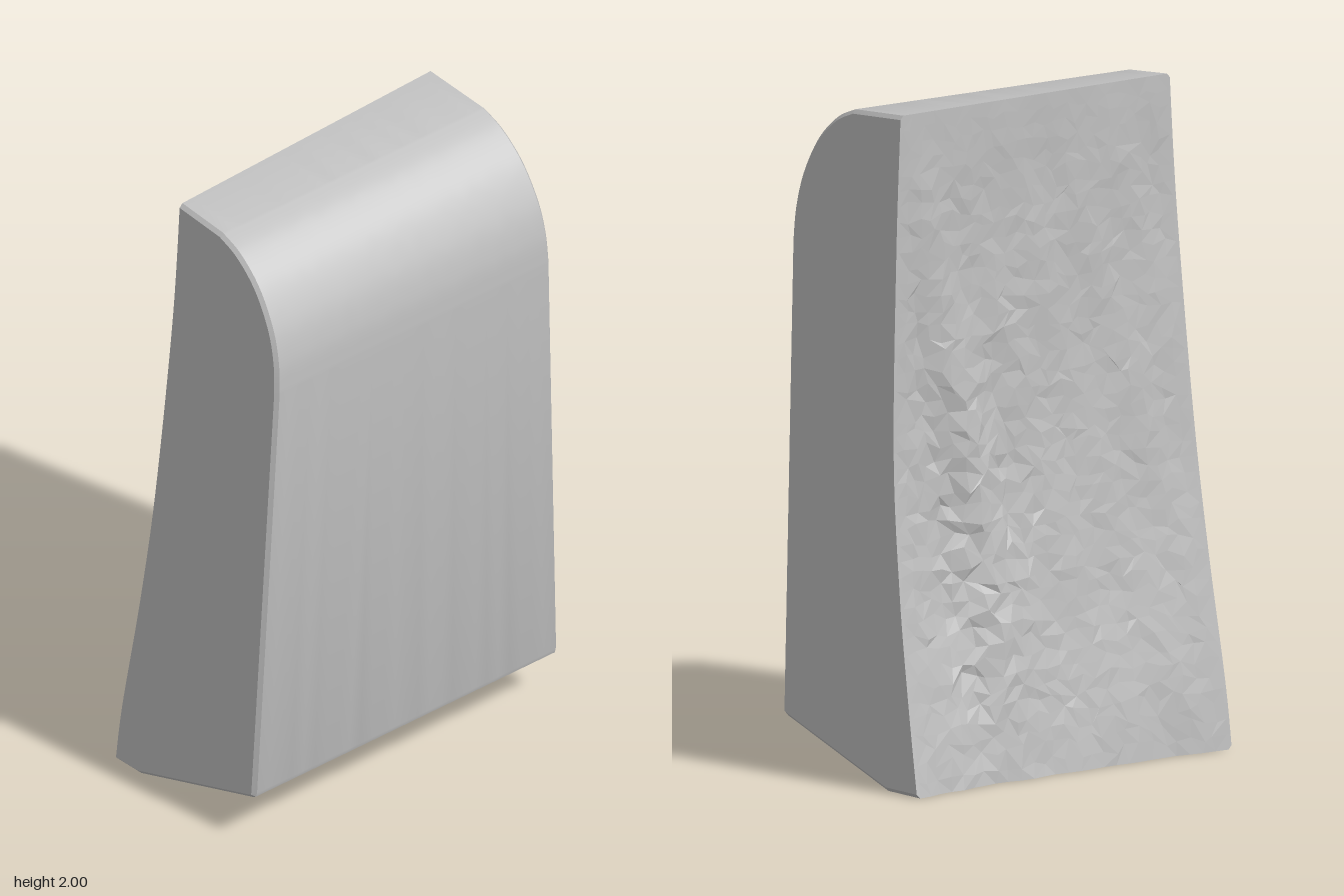
import * as THREE from 'three';
import { toCreasedNormals } from 'three/addons/utils/BufferGeometryUtils.js';

const CHAMFER = 0.012, ROWS = 44, COLS = 26;
const gauss = (x, w) => Math.exp(-(x * x) / (w * w));
const hash = (a, b) => { const n = Math.sin(a * 127.1 + b * 311.7) * 43758.5453; return n - Math.floor(n) - 0.5; };

// piecewise-linear lookup smoothed through a spline: points are (y, depth)
function edgeCurve(points) {
  const samples = new THREE.SplineCurve(points.map(p => new THREE.Vector2(...p))).getPoints(80);
  return y => {
    let i = 1;
    while (i < samples.length - 1 && samples[i].x < y) i++;
    const a = samples[i - 1], b = samples[i];
    return a.y + (b.y - a.y) * THREE.MathUtils.clamp((y - a.x) / (b.x - a.x), 0, 1);
  };
}
const rightEdge = edgeCurve([[0, -0.363], [0.3, -0.3], [0.6, -0.245], [1, -0.195], [1.6, -0.175], [2, -0.173]]);
const leftEdge = edgeCurve([[0, -0.31], [0.2, -0.29], [0.6, -0.228], [1, -0.18], [1.6, -0.135], [2, -0.123]]);

// depth of the rough back at side position s (-1..1) and height y
function backDepth(s, y) {
  const base = THREE.MathUtils.lerp(leftEdge(y), rightEdge(y), (s + 1) / 2);
  const low = 1 - y / 2, window = Math.min(1, (1 - s * s) * 4) * Math.min(1, (2 - y) * 4);
  const line = 0.32 + 0.28 * (y - 0.4);
  const mid = gauss(y - 0.75, 0.65);
  const hollow = 0.03 * low * (1 - s * s) + 0.03 * gauss(s - line - 0.28, 0.14) * mid;
  const ridge = 0.03 * gauss(s - line, 0.13) * mid;
  const waves = 0.005 * Math.sin(7 * s + 3 * y) * Math.sin(5 * y - 2 * s + 1) + 0.003 * Math.sin(17 * s - 9 * y);
  const chips = hash(Math.round(s * 40), Math.round(y * 30)) * (0.004 + 0.012 * mid * gauss(s - 0.5, 0.4));
  return base + window * (hollow - ridge + waves + chips);
}

const place = (s, y, v) => [-0.014 + s * (0.604 - 0.043 * y), y, v];

// columns across the width; the outermost ones are inset to chamfer the edges
const columns = [{ s: -1, inset: CHAMFER }];
for (let i = 0; i <= COLS; i++) columns.push({ s: 0.98 * (2 * i / COLS - 1), inset: 0 });
columns.push({ s: 1, inset: CHAMFER });

// side profile (depth, height) from the top back edge over the front to the bottom back edge
const arc = new THREE.SplineCurve([
  [0.056, 1.985], [0.138, 1.95], [0.224, 1.875], [0.29, 1.765], [0.32, 1.66], [0.328, 1.56],
].map(p => new THREE.Vector2(...p))).getPoints(26);
const profile = [[-0.15, 2], ...arc.map(p => [p.x, p.y]), [0.294, 0.172], [0.29, 0.158], [0.278, 0.151],
  [-0.21, 0], [-0.34, 0]];

function frontPoint({ s, inset }, j) {
  const last = profile.length - 1;
  const a = profile[Math.max(0, j - 1)], b = profile[Math.min(last, j + 1)];
  const dv = b[0] - a[0], dy = b[1] - a[1], len = Math.hypot(dv, dy);
  const y = THREE.MathUtils.clamp(profile[j][1] - inset * dv / len, inset, 2 - inset);
  const v = j === 0 || j === last ? backDepth(s, y) : profile[j][0] + inset * dy / len;
  return place(s, y, v);
}

// the back runs from the bottom upwards, with shifted vertices for irregular facets
function backPoint({ s, inset }, j) {
  const inner = Math.abs(s) < 0.97 && j > 0 && j < ROWS;
  const y = THREE.MathUtils.clamp(2 * j / ROWS + (inner ? hash(j, s * 13) * 0.03 : 0), inset, 2 - inset);
  const t = s + (inner ? hash(s * 29, j) * 0.05 : 0);
  return place(t, y, backDepth(t, y));
}

function fromTriangles(positions) {
  const geometry = new THREE.BufferGeometry();
  geometry.setAttribute('position', new THREE.Float32BufferAttribute(positions, 3));
  geometry.computeVertexNormals();
  return geometry;
}

function sheet(rows, point) {
  const out = [];
  for (let i = 0; i < columns.length - 1; i++) {
    for (let j = 0; j < rows; j++) {
      const a = point(columns[i], j), b = point(columns[i], j + 1);
      const c = point(columns[i + 1], j + 1), d = point(columns[i + 1], j);
      if (hash(i, j) > 0) out.push(...a, ...b, ...c, ...a, ...c, ...d);
      else out.push(...a, ...b, ...d, ...b, ...c, ...d);
    }
  }
  return fromTriangles(out);
}

// flat side face closing the front profile and the back edge
function sideFace(column) {
  const loop = profile.map((_, j) => frontPoint(column, j));
  for (let j = 1; j < ROWS; j++) loop.push(backPoint(column, j));
  const outline = loop.map(p => new THREE.Vector2(-p[2], p[1]));
  const out = [];
  for (const [a, b, c] of THREE.ShapeUtils.triangulateShape(outline, [])) {
    const order = column.s > 0 ? [a, b, c] : [a, c, b];
    for (const k of order) out.push(...loop[k]);
  }
  return fromTriangles(out);
}

export function createModel() {
  const stone = new THREE.MeshStandardMaterial({ color: 0xc0c0c0 });
  stone.name = 'light grey stone';

  const block = new THREE.Group();
  block.name = 'block';
  const add = (name, geometry) => {
    const mesh = new THREE.Mesh(geometry, stone);
    mesh.name = name;
    block.add(mesh);
  };
  add('roundedFront', toCreasedNormals(sheet(profile.length - 1, frontPoint), 0.3));
  add('roughBack', sheet(ROWS, backPoint));
  add('leftSide', sideFace(columns[columns.length - 1]));
  add('rightSide', sideFace(columns[0]));
  block.rotation.y = -0.197; // the block stands slightly turned

  const model = new THREE.Group();
  model.name = 'stoneBlock';
  model.add(block);
  return model;
}
